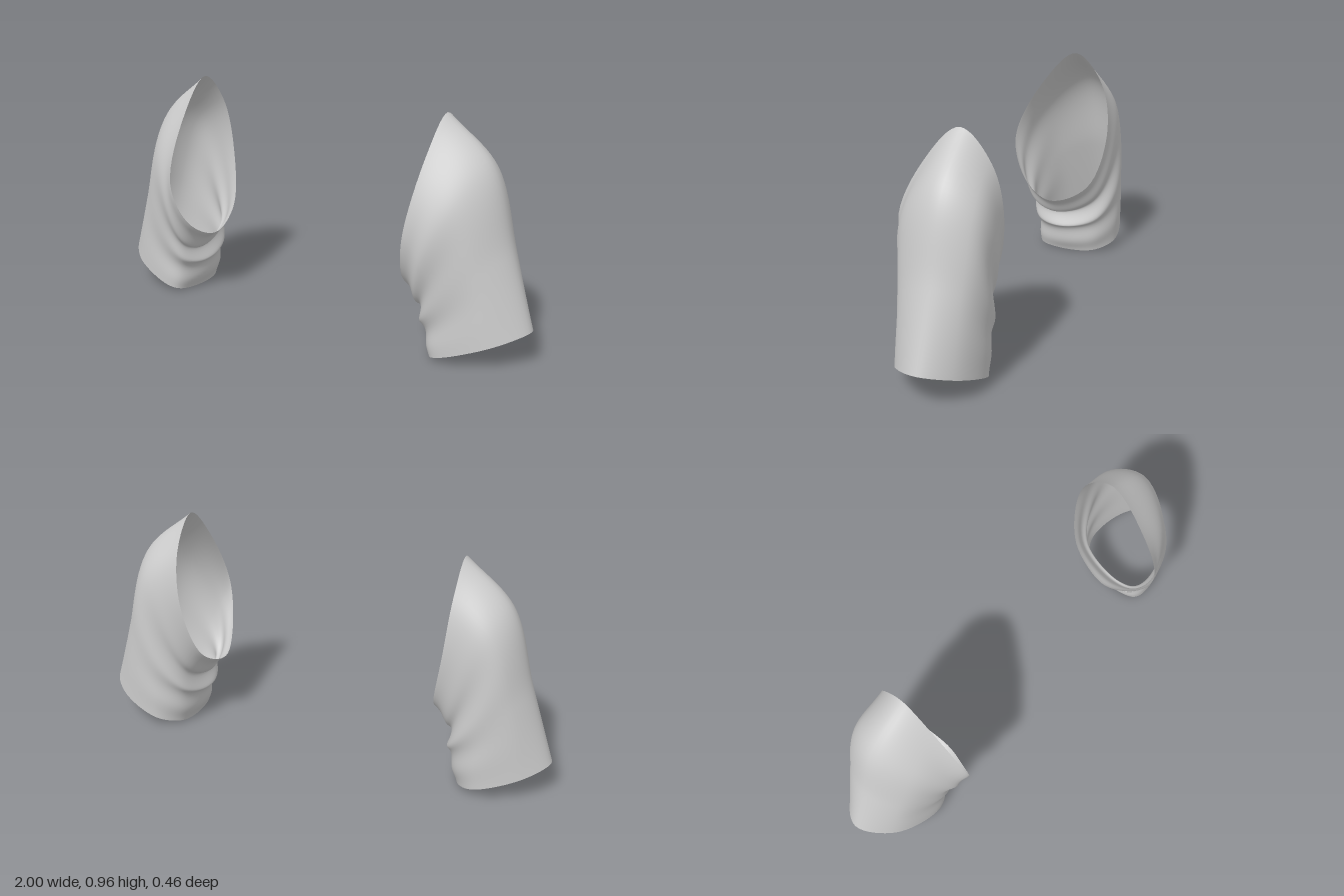
import * as THREE from 'three';

// Cross-sections of the left sleeve from cuff to armhole. Each loop runs
// outer, outer-front, front, inner-front, inner, inner-back, back, outer-back.
const LOOPS = [
  [[1, .14, -.05], [.9, .1, .09], [.71, .03, .143], [.645, .01, .12],
    [.62, 0, 0], [.64, .008, -.14], [.73, .04, -.213], [.91, .105, -.17]],
  [[.9, .45, -.05], [.83, .38, .1], [.69, .22, .15], [.61, .15, .12],
    [.575, .13, 0], [.61, .16, -.16], [.72, .25, -.222], [.85, .41, -.18]],
  [[.8, .78, -.05], [.74, .65, .12], [.64, .41, .195], [.59, .25, .14],
    [.58, .2, .02], [.6, .27, -.15], [.68, .46, -.217], [.76, .7, -.19]],
  [[.6, .96, -.05], [.595, .82, .1], [.575, .54, .233], [.535, .35, .165],
    [.5, .28, .03], [.525, .36, -.14], [.575, .6, -.212], [.597, .83, -.175]],
];
const AROUND = 64, ALONG = 40;

// Open tube lofted smoothly through the loops; side = 1 left, -1 right
function sleeveGeometry(side) {
  const rails = LOOPS[0].map((_, i) =>
    new THREE.CatmullRomCurve3(LOOPS.map(l => new THREE.Vector3(...l[i]))));
  const pos = [], index = [];
  for (let j = 0; j <= ALONG; j++) {
    const v = j / ALONG;
    const points = rails.map(r => r.getPoint(v));
    const center = points.reduce((s, p) => s.add(p), new THREE.Vector3()).divideScalar(8);
    const ring = new THREE.CatmullRomCurve3(points, true);
    for (let i = 0; i < AROUND; i++) {
      const u = i / AROUND, a = u * Math.PI * 2;
      const p = ring.getPoint(u);
      // Cloth folds bunching up on the inner side, fading at both openings
      const inner = Math.pow((1 - Math.cos(a)) / 2, 1.5);
      const fold = 0.014 * inner * Math.sin(Math.PI * v) * Math.sin(v * 19 + Math.sin(a) * 0.8);
      p.addScaledVector(p.clone().sub(center).normalize(), fold);
      pos.push(p.x * side, p.y, p.z);
      if (j === ALONG) continue;
      const n = (i + 1) % AROUND;
      const p0 = j * AROUND + i, p1 = j * AROUND + n, q0 = p0 + AROUND, q1 = p1 + AROUND;
      if (side > 0) index.push(p0, q0, p1, p1, q0, q1);
      else index.push(p0, p1, q0, p1, q1, q0);
    }
  }
  const g = new THREE.BufferGeometry();
  g.setAttribute('position', new THREE.Float32BufferAttribute(pos, 3));
  g.setIndex(index);
  g.computeVertexNormals();
  return g;
}

export function createModel() {
  const group = new THREE.Group();
  group.name = 'sleeves';
  const cloth = new THREE.MeshStandardMaterial({ color: 0xcccccc, side: THREE.DoubleSide });
  for (const [name, side] of [['leftSleeve', 1], ['rightSleeve', -1]]) {
    const mesh = new THREE.Mesh(sleeveGeometry(side), cloth);
    mesh.name = name;
    group.add(mesh);
  }
  return group;
}
